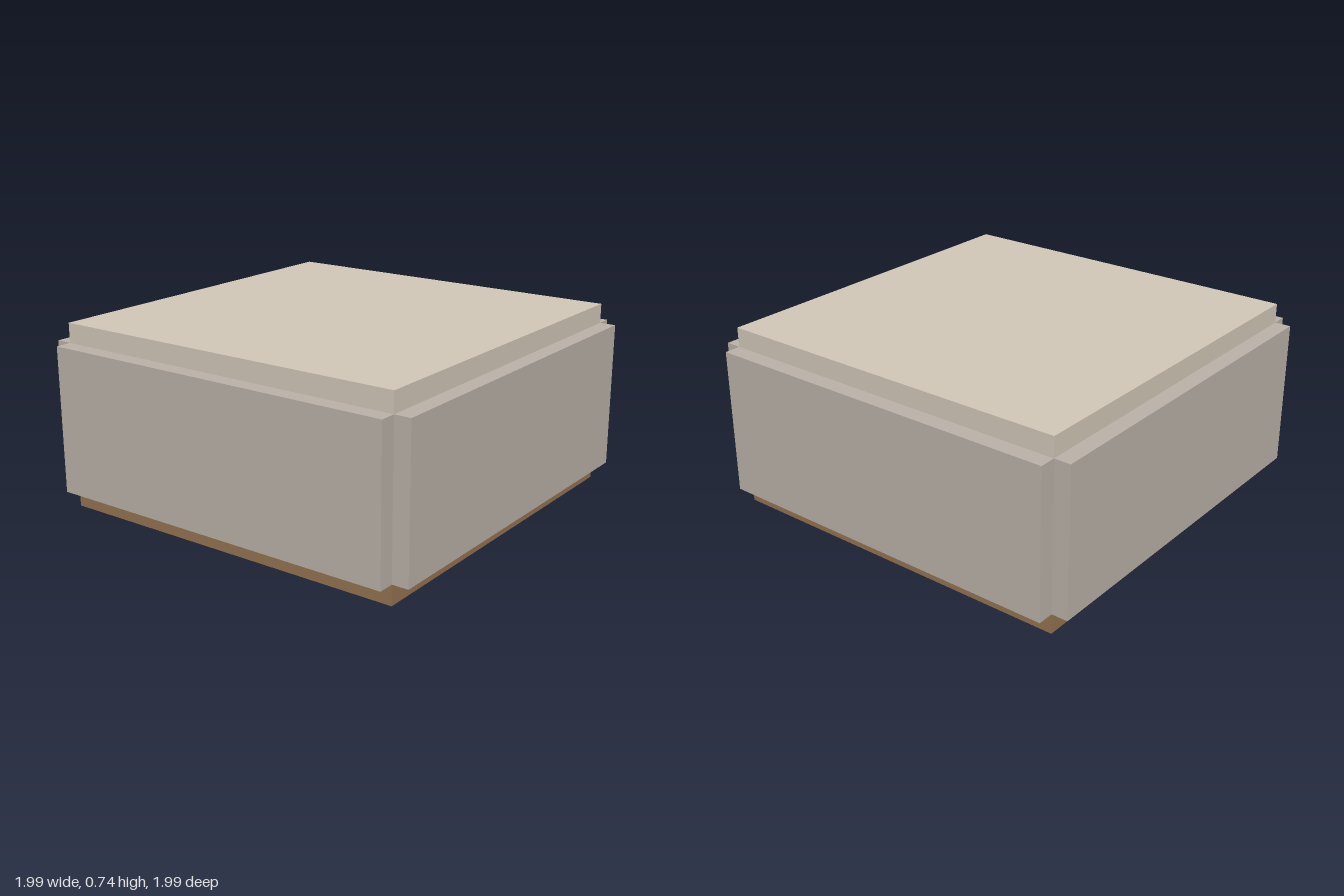
import * as THREE from 'three';

const SIDE = 1.475;      // edge of the square plan
const SLAB = 0.078;      // floor and roof thickness
const WALL = 0.065;      // wall thickness
const WALL_H = 0.582;    // wall height
const TURN = 0.328;      // rotation of the whole box about y

function box(name, size, position, color) {
  const material = new THREE.MeshStandardMaterial({ color });
  const mesh = new THREE.Mesh(new THREE.BoxGeometry(...size), material);
  mesh.name = name;
  mesh.position.set(...position);
  return mesh;
}

export function createModel() {
  const model = new THREE.Group();
  model.name = 'boxRoom';

  // Floor and roof slabs share the same square plan
  model.add(box('floor', [SIDE, SLAB, SIDE], [0, SLAB / 2, 0], 0x947350));
  model.add(box('roof', [SIDE, SLAB, SIDE], [0, SLAB * 1.5 + WALL_H, 0], 0xd2c8b8));

  // Four walls hung just outside the slab edges, leaving open corner notches
  ['frontWall', 'leftWall', 'backWall', 'rightWall'].forEach((name, i) => {
    const a = (i * Math.PI) / 2;
    const r = (SIDE + WALL) / 2;
    const wall = box(name, [SIDE, WALL_H, WALL],
      [Math.sin(a) * r, SLAB + WALL_H / 2, Math.cos(a) * r], 0xbbb2a8);
    wall.rotation.y = a;
    model.add(wall);
  });

  model.rotation.y = TURN;
  const root = new THREE.Group();
  root.add(model);
  return root;
}
